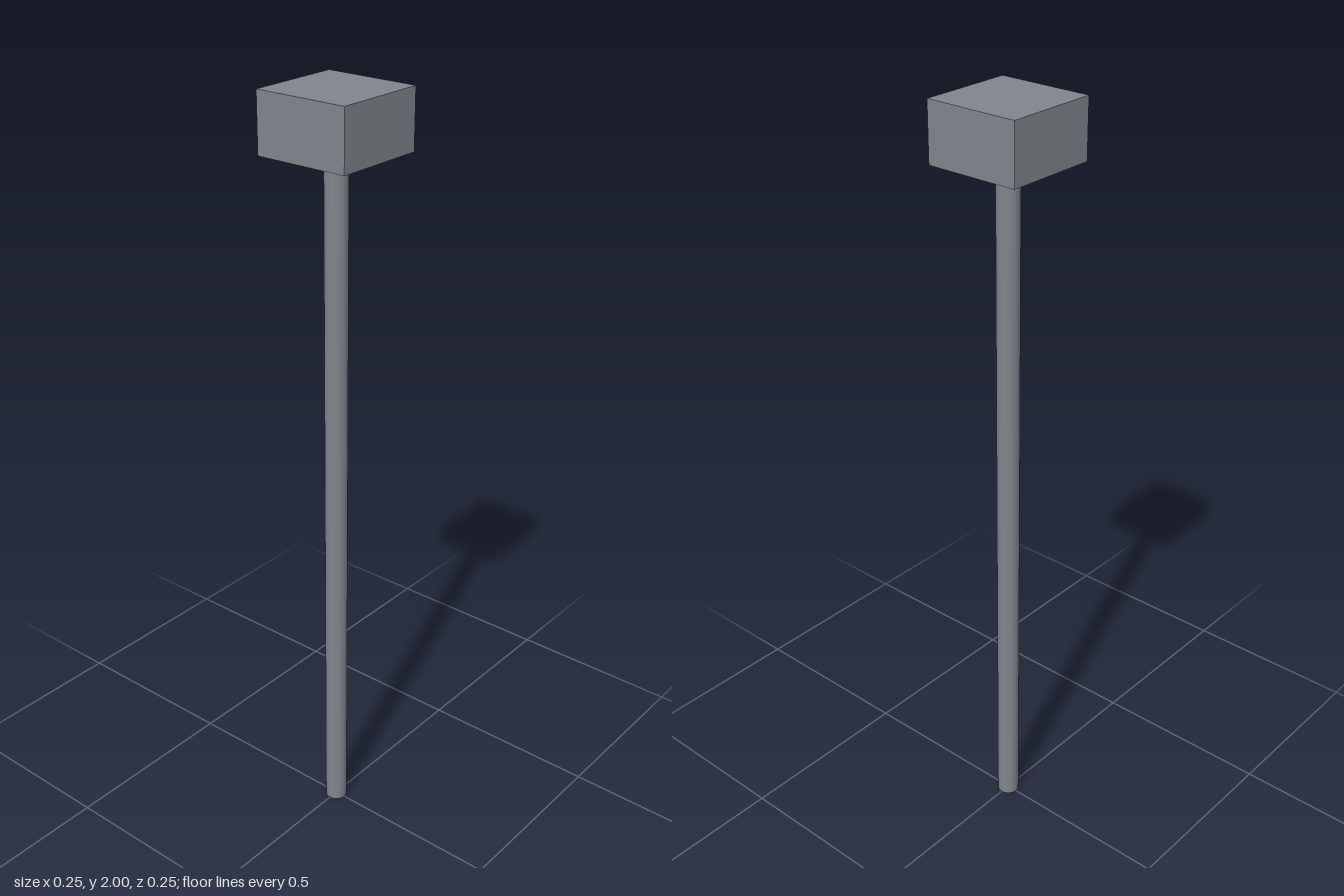
import * as THREE from 'three';

export function createModel() {
  const group = new THREE.Group();
  const material = new THREE.MeshStandardMaterial({ color: 0x80868e });
  const height = 2, headHeight = 0.15, headWidth = 0.252, handleRadius = 0.029;
  const handleHeight = height - headHeight;

  const addPart = (name, geometry, y) => {
    const mesh = new THREE.Mesh(geometry, material);
    mesh.name = name;
    mesh.position.y = y;
    group.add(mesh);
  };

  // Long round handle standing on the ground
  addPart('handle', new THREE.CylinderGeometry(handleRadius, handleRadius, handleHeight, 32), handleHeight / 2);

  // Square block head on top of the handle
  addPart('head', new THREE.BoxGeometry(headWidth, headHeight, headWidth), height - headHeight / 2);

  return group;
}
